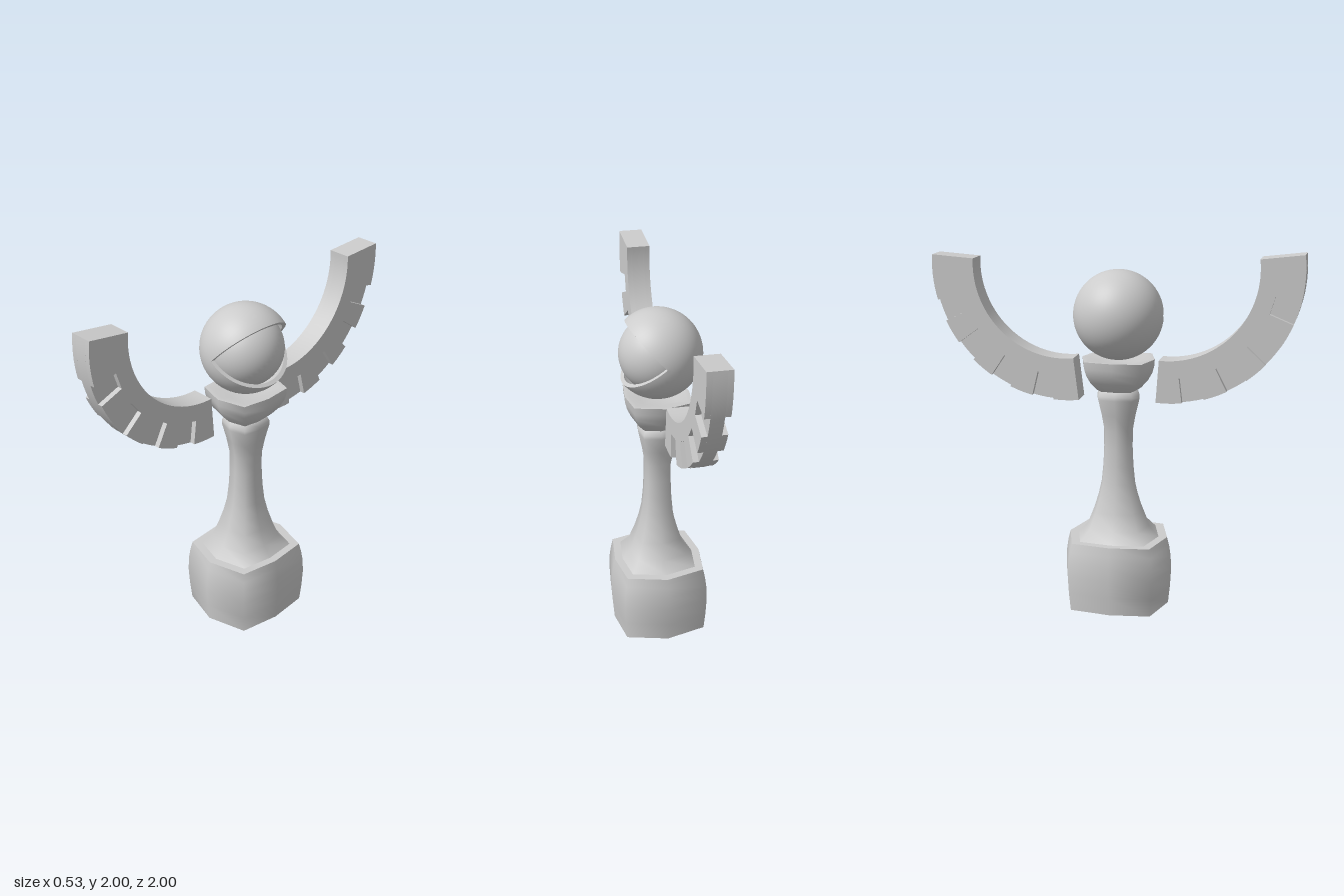
import * as THREE from 'three';
import { toCreasedNormals } from 'three/addons/utils/BufferGeometryUtils.js';

const rad = THREE.MathUtils.degToRad;
const grey = new THREE.MeshStandardMaterial({ color: 0xcccccc });
const greyDouble = new THREE.MeshStandardMaterial({ color: 0xcccccc, side: THREE.DoubleSide });

function addMesh(parent, name, geometry, material = grey) {
  const mesh = new THREE.Mesh(geometry, material);
  mesh.name = name;
  parent.add(mesh);
  return mesh;
}

// Eight-sided turned form, pushed out at the corners and stretched front to back
function turned(profile) {
  const geo = new THREE.LatheGeometry(profile.map(([r, y]) => new THREE.Vector2(r, y)), 8);
  const pos = geo.attributes.position;
  for (let i = 0; i < pos.count; i++) {
    const x = pos.getX(i), z = pos.getZ(i);
    if (Math.abs(x) < 1e-5) pos.setZ(i, z * 1.135);
    else if (Math.abs(z) > 1e-5) pos.setXYZ(i, x * 1.25, pos.getY(i), z * 1.25);
  }
  return toCreasedNormals(geo, 1.25);
}

// Curved bar; with notches, the outer edge is cut back at four places
const OUTER = 0.72, INNER = 0.49, NOTCH = 0.585, SWEEP = 101;
function arcBar(start, thickness, offset, notched) {
  const pts = [];
  const put = (r, a) => pts.push(new THREE.Vector2(r * Math.cos(rad(start - a)), r * Math.sin(rad(start - a))));
  const run = (r, a, b) => {
    const n = Math.max(1, Math.round(Math.abs(b - a) / 3));
    for (let i = 0; i <= n; i++) put(r, a + (b - a) * i / n);
  };
  let a = 0;
  if (notched) {
    for (const c of [24.5, 45, 65, 85]) {
      run(OUTER, a, c - 4.8);
      put(NOTCH, c - 4.8);
      put(NOTCH, c + 4.8);
      a = c + 4.8;
    }
  }
  run(OUTER, a, SWEEP);
  run(INNER, SWEEP, 0);
  const geo = new THREE.ExtrudeGeometry(new THREE.Shape(pts), { depth: thickness, bevelEnabled: false });
  geo.translate(0, 0, offset - thickness / 2);
  return toCreasedNormals(geo, 0.4);
}

function arm(name, side, start, y) {
  const group = new THREE.Group();
  group.name = name;
  addMesh(group, 'armCore', arcBar(start, 0.07, 0, false));
  for (const s of [-1, 1]) addMesh(group, 'notchedArmSide', arcBar(start, 0.03, s * 0.05, true));
  group.rotation.y = -side * Math.PI / 2;
  group.position.set(-0.065, y, side * 0.28);
  return group;
}

function eyeball() {
  const group = new THREE.Group();
  group.name = 'eye';
  const R = 0.244, r = 0.222, top = 47, bottom = -38;
  addMesh(group, 'eyeball', new THREE.SphereGeometry(0.206, 48, 32));
  // Lid shell, revolved about z and open between the two lid edges
  const profile = [];
  for (let i = 0; i <= 32; i++) {
    const t = rad(-90 + i * 180 / 32);
    profile.push(new THREE.Vector2(Math.max(0, R * Math.cos(t)), R * Math.sin(t)));
  }
  for (const [name, radius, material] of [['eyelidOuter', R, grey], ['eyelidInner', r, greyDouble]]) {
    const points = profile.map(p => p.clone().multiplyScalar(radius / R));
    const shell = new THREE.LatheGeometry(points, 48, rad(top + 90), rad(360 - top + bottom));
    addMesh(group, name, shell.rotateX(Math.PI / 2), material);
  }
  for (const angle of [top, bottom]) {
    const rim = new THREE.RingGeometry(r, R, 40, 1, -Math.PI / 2, Math.PI);
    addMesh(group, 'eyelidRim', rim.rotateX(Math.PI / 2).rotateZ(rad(angle)), greyDouble);
  }
  group.position.set(0, 1.637, 0);
  return group;
}

export function createModel() {
  const model = new THREE.Group();
  model.name = 'model';

  // Heavy foot
  addMesh(model, 'base', turned([
    [0, 0], [0.253, 0], [0.262, 0.1], [0.267, 0.2], [0.264, 0.28], [0.256, 0.34], [0.245, 0.39], [0, 0.39],
  ]));
  // Waisted column up to the collar
  addMesh(model, 'stem', turned([
    [0.202, 0.39], [0.153, 0.45], [0.122, 0.54], [0.1, 0.62], [0.084, 0.7], [0.075, 0.8],
    [0.071, 0.9], [0.071, 1.0], [0.085, 1.09], [0.104, 1.18], [0.104, 1.2], [0.09, 1.23], [0, 1.23],
  ]));
  // Cup under the eye
  addMesh(model, 'cup', turned([
    [0.085, 1.22], [0.11, 1.24], [0.143, 1.28], [0.165, 1.325], [0.174, 1.36], [0.177, 1.4],
    [0.155, 1.4], [0.1, 1.385], [0, 1.38],
  ]));

  model.add(eyeball());
  model.add(arm('frontArm', 1, 7, 1.91));
  model.add(arm('backArm', -1, 4, 1.9));
  return model;
}
